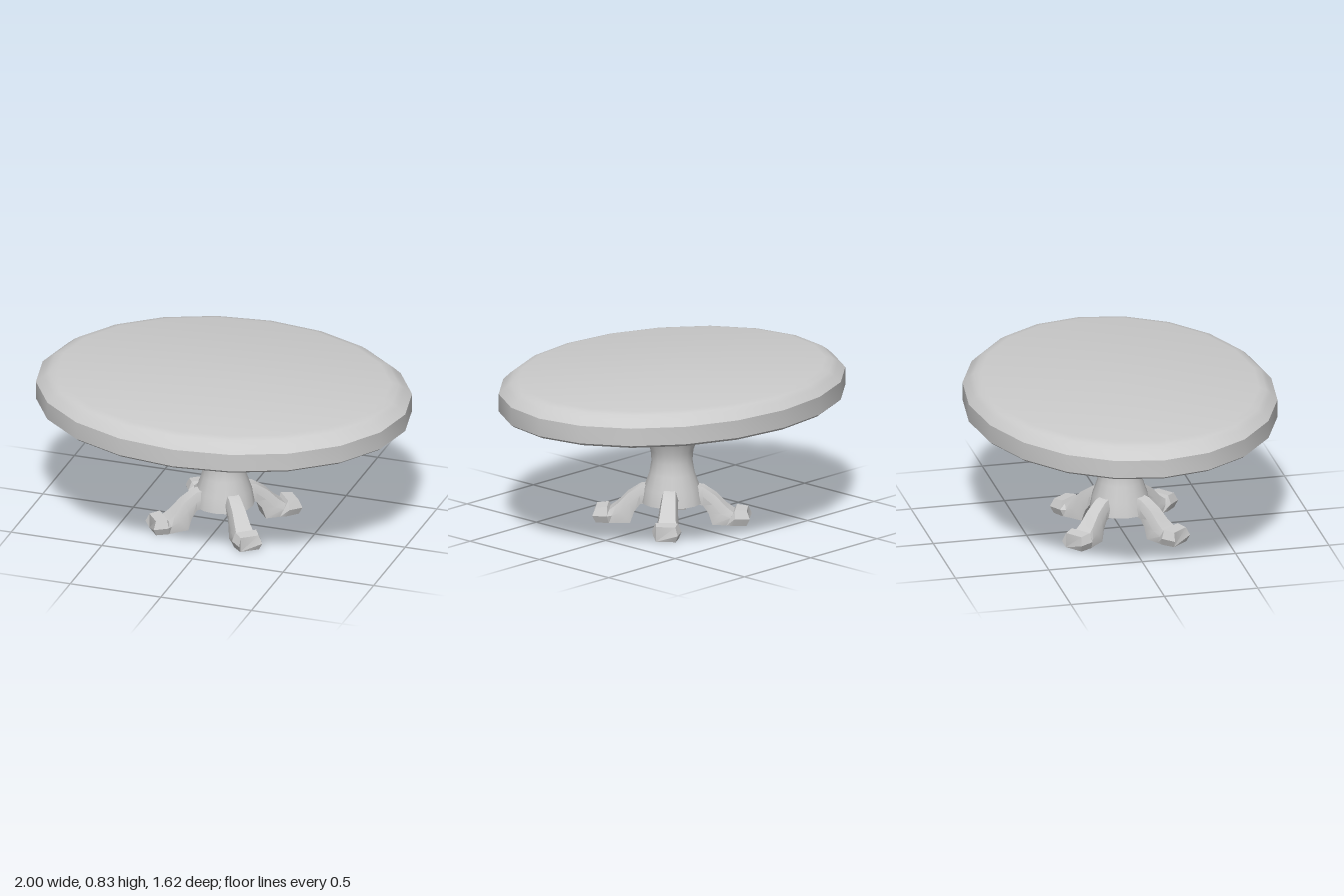
import * as THREE from 'three';
import { toCreasedNormals } from 'three/addons/utils/BufferGeometryUtils.js';

const material = new THREE.MeshStandardMaterial({ color: 0xcccccc });

function lathe(name, profile, segments) {
  const points = profile.map(([r, y]) => new THREE.Vector2(r, y));
  const geometry = new THREE.LatheGeometry(points, segments);
  return { name, geometry };
}

function addMesh(parent, name, geometry, crease) {
  const mesh = new THREE.Mesh(toCreasedNormals(geometry, crease), material);
  mesh.name = name;
  parent.add(mesh);
  return mesh;
}

// Leg running along +x, lofted through six-sided sections:
// [bottom r, bottom y, half width], [middle ...], [top ...]
function legGeometry() {
  const sections = [
    [[0.11, 0.11, 0.04], [0.11, 0.16, 0.045], [0.10, 0.21, 0.03]],
    [[0.165, 0.10, 0.04], [0.165, 0.15, 0.045], [0.165, 0.198, 0.032]],
    [[0.195, 0.06, 0.045], [0.215, 0.11, 0.05], [0.23, 0.155, 0.036]],
    [[0.215, 0, 0.05], [0.26, 0.06, 0.055], [0.285, 0.098, 0.042]],
    [[0.29, 0, 0.056], [0.31, 0.04, 0.06], [0.325, 0.068, 0.048]],
    [[0.325, 0, 0.062], [0.335, 0.04, 0.077], [0.335, 0.086, 0.058]],
    [[0.395, 0, 0.052], [0.412, 0.037, 0.064], [0.395, 0.08, 0.05]],
  ];
  const positions = [];
  const index = [];
  for (const [b, m, t] of sections) {
    for (const [r, y, w] of [b, m, t]) positions.push(r, y, w);
    for (const [r, y, w] of [t, m, b]) positions.push(r, y, -w);
  }
  for (let i = 0; i < sections.length - 1; i++) {
    for (let j = 0; j < 6; j++) {
      const a = i * 6 + j, d = i * 6 + (j + 1) % 6;
      index.push(a, a + 6, d + 6, a, d + 6, d);
    }
  }
  // toe cap
  const last = (sections.length - 1) * 6;
  for (let j = 1; j < 5; j++) index.push(last, last + j + 1, last + j);
  const geometry = new THREE.BufferGeometry();
  geometry.setAttribute('position', new THREE.Float32BufferAttribute(positions, 3));
  geometry.setIndex(index);
  return geometry;
}

export function createModel() {
  const table = new THREE.Group();
  table.name = 'pedestalTable';

  // Oval top with a rounded upper rim
  const top = lathe('tableTop', [
    [0, 0.654], [0.98, 0.654], [1, 0.668], [1, 0.763],
    [0.96, 0.797], [0.93, 0.817], [0.885, 0.827], [0, 0.827],
  ], 20);
  top.geometry.scale(1, 1, 0.81);
  addMesh(table, top.name, top.geometry, 0.5);

  // Turned pedestal
  const pedestal = lathe('pedestal', [
    [0, 0.11], [0.16, 0.11], [0.146, 0.19], [0.118, 0.27], [0.107, 0.335],
    [0.112, 0.39], [0.135, 0.45], [0.157, 0.5], [0.165, 0.55],
    [0.157, 0.605], [0.135, 0.657],
  ], 16);
  addMesh(table, pedestal.name, pedestal.geometry, 0.6);

  // Four splayed legs with knuckled feet
  const leg = legGeometry();
  for (let i = 0; i < 4; i++) {
    const mesh = addMesh(table, 'leg', leg, 0.45);
    mesh.rotation.y = -THREE.MathUtils.degToRad(51 + 90 * i);
  }
  return table;
}
